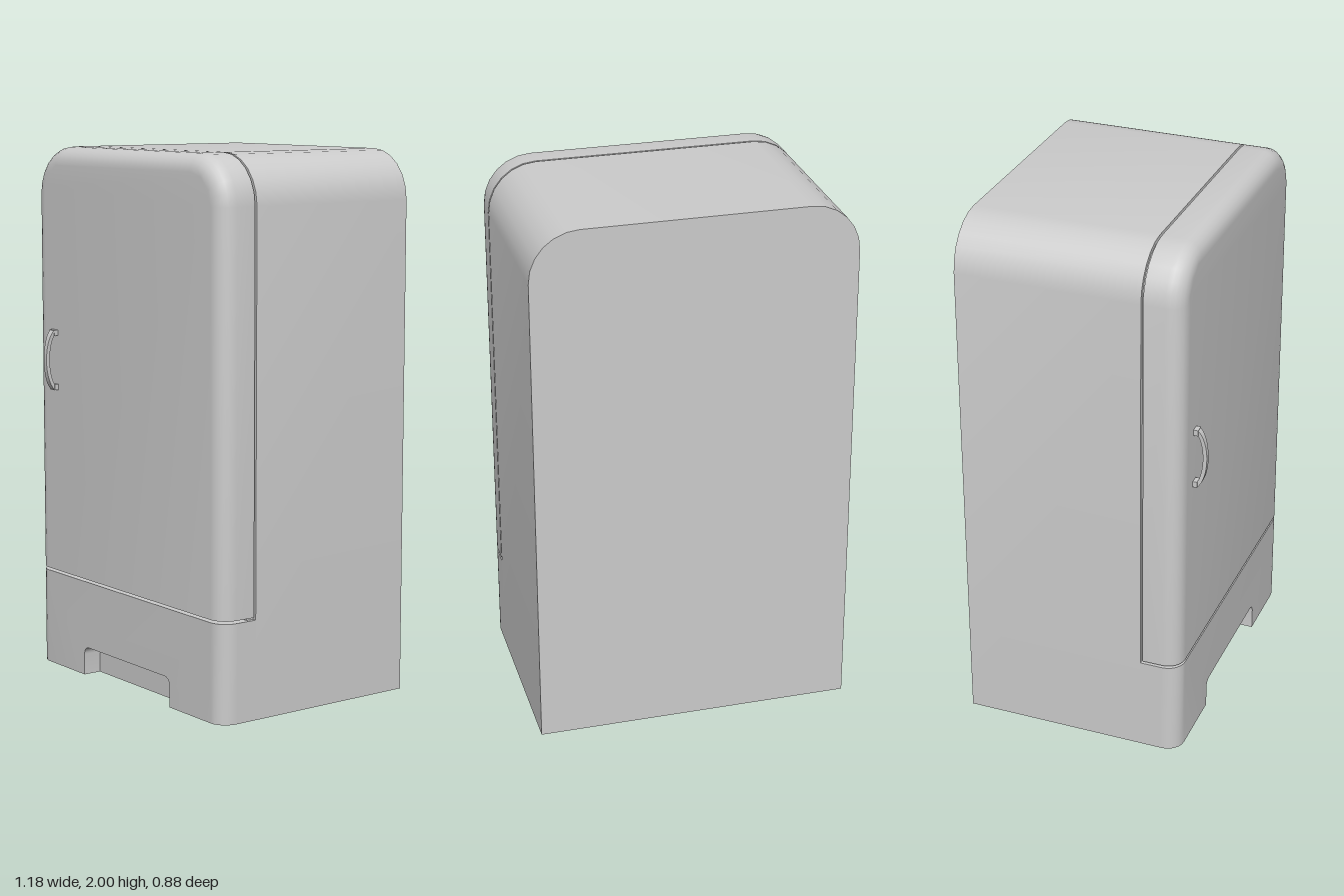
import * as THREE from 'three';
import { toCreasedNormals } from 'three/addons/utils/BufferGeometryUtils.js';

const W = 0.59, H = 2, R = 0.18;   // half width, height, top corner radius
const BACK = -0.445, SEAM = 0.24, FRONT = 0.39, EDGE = 0.065;

const material = new THREE.MeshStandardMaterial({ color: 0xcccccc });

function addMesh(parent, name, geometry) {
  const mesh = new THREE.Mesh(toCreasedNormals(geometry, 0.75), material);
  mesh.name = name;
  parent.add(mesh);
  return mesh;
}

// Upright outline with two rounded top corners
function archShape(bottom, inset = 0) {
  const w = W - inset, top = H - inset, r = R - inset;
  const s = new THREE.Shape();
  s.moveTo(-w, bottom);
  s.lineTo(w, bottom);
  s.lineTo(w, top - r);
  s.absarc(w - r, top - r, r, 0, Math.PI / 2);
  s.lineTo(-w + r, top);
  s.absarc(-w + r, top - r, r, Math.PI / 2, Math.PI);
  s.closePath();
  return s;
}

function slab(shape, z0, z1, curveSegments = 3) {
  return new THREE.ExtrudeGeometry(shape, { depth: z1 - z0, bevelEnabled: false, curveSegments })
    .translate(0, 0, z0);
}

// Slab whose outer edge rolls over toward the front in a quarter round
function roundedFront(shape, z0, z1, radius) {
  const steps = 7;
  const geo = new THREE.ExtrudeGeometry(shape, { depth: steps, steps, bevelEnabled: false, curveSegments: 3 });
  const p = geo.attributes.position;
  for (let i = 0; i < p.count; i++) {
    const ring = Math.round(p.getZ(i));
    const a = Math.max(0, ring - 1) / (steps - 1) * Math.PI / 2;
    const inset = radius * (1 - Math.cos(a));
    let x = p.getX(i), y = p.getY(i);
    // Move the rim toward the nearest point of the inner core
    const dx = x - THREE.MathUtils.clamp(x, R - W, W - R);
    const dy = y - Math.min(y, H - R);
    const len = Math.hypot(dx, dy);
    if (len > 1e-6) {
      x -= dx / len * inset;
      y -= dy / len * inset;
    }
    p.setXYZ(i, x, y, ring === 0 ? z0 : z1 - radius + radius * Math.sin(a));
  }
  return geo;
}

// Base front outline with the toe recess cut from the bottom edge
function baseShape(top) {
  const n = 0.277, h = 0.11, r = 0.03;
  const s = new THREE.Shape();
  s.moveTo(-W, 0);
  s.lineTo(-n, 0);
  s.lineTo(-n, h - r);
  s.absarc(-n + r, h - r, r, Math.PI, Math.PI / 2, true);
  s.lineTo(n - r, h);
  s.absarc(n - r, h - r, r, Math.PI / 2, 0, true);
  s.lineTo(n, 0);
  s.lineTo(W, 0);
  s.lineTo(W, top);
  s.lineTo(-W, top);
  s.closePath();
  return s;
}

function createHandle() {
  const handle = new THREE.Group();
  handle.name = 'handle';
  const half = 0.115, reach = 0.055, t = 0.015;
  // D-shaped bow: x of the shape runs outward from the door
  const s = new THREE.Shape();
  s.moveTo(0, -half);
  s.lineTo(0.015, -half);
  s.bezierCurveTo(reach + 0.005, -0.075, reach + 0.005, 0.075, 0.015, half);
  s.lineTo(0, half);
  s.lineTo(0, half - t);
  s.lineTo(0.01, half - t);
  s.bezierCurveTo(reach - 0.013, -0.07 + 0.135, reach - 0.013, -0.065, 0.01, -half + t);
  s.lineTo(0, -half + t);
  s.closePath();
  const bow = new THREE.ExtrudeGeometry(s, { depth: 0.028, bevelEnabled: false, curveSegments: 14 });
  bow.translate(0, 0, -0.014).rotateY(-Math.PI / 2);
  // Slim the bow toward its middle
  const p = bow.attributes.position;
  for (let i = 0; i < p.count; i++) {
    p.setX(i, p.getX(i) * (0.65 + 0.35 * (p.getY(i) / half) ** 2));
  }
  addMesh(handle, 'handleBow', bow);
  for (const side of [-1, 1]) {
    addMesh(handle, 'handleFoot', new THREE.BoxGeometry(0.032, 0.022, 0.018))
      .position.set(0, side * (half - 0.011), 0.008);
  }
  handle.position.set(-0.455, 1.195, FRONT);
  return handle;
}

export function createModel() {
  const model = new THREE.Group();
  model.name = 'refrigerator';

  // Cabinet and the recessed seal seen in the gap around the door
  addMesh(model, 'cabinet', slab(archShape(0), BACK, SEAM));
  addMesh(model, 'doorSeal', slab(archShape(0.355, 0.015), SEAM - 0.01, SEAM + 0.03));

  // Door with rolled edges
  addMesh(model, 'door', roundedFront(archShape(0.375), SEAM + 0.008, FRONT, EDGE));

  // Base: solid rear strip, then the front panel with the toe recess
  const top = 0.365, mid = FRONT - EDGE - 0.005;
  addMesh(model, 'baseRear', new THREE.BoxGeometry(2 * W, top, mid - SEAM))
    .position.set(0, top / 2, (mid + SEAM) / 2);
  addMesh(model, 'baseFront', roundedFront(baseShape(top), mid, FRONT, EDGE));

  model.add(createHandle());
  return model;
}
